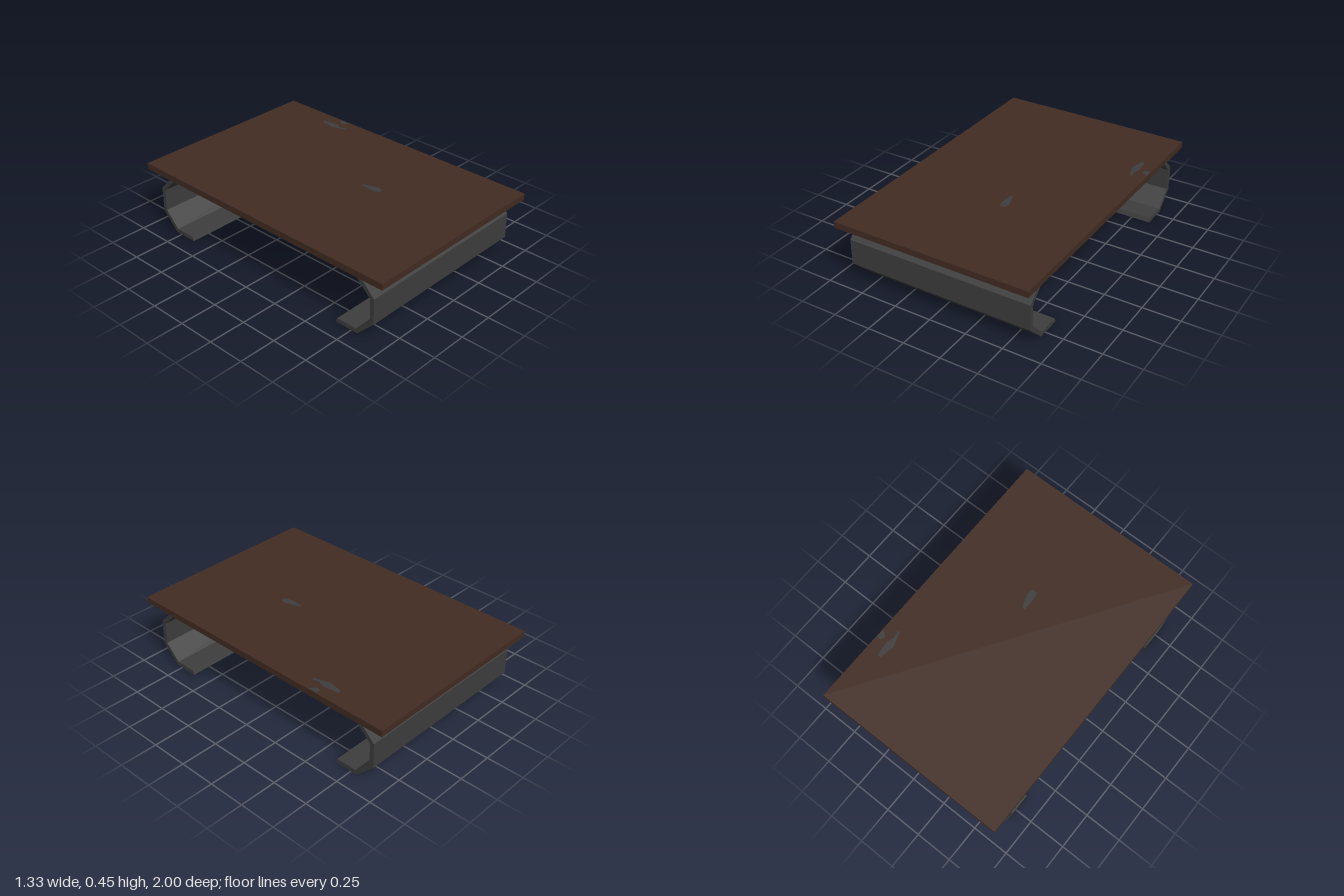
import * as THREE from 'three';

const wood = new THREE.MeshStandardMaterial({ name: 'darkWood', color: 0x422c22, flatShading: true });
const steel = new THREE.MeshStandardMaterial({ name: 'darkSteel', color: 0x3d3d3d, flatShading: true });

const toShape = (pts) => new THREE.Shape(pts.map(([x, y]) => new THREE.Vector2(x, y)));

function addMesh(group, name, geometry, material) {
  const mesh = new THREE.Mesh(geometry, material);
  mesh.name = name;
  group.add(mesh);
  return mesh;
}

// Thin worn patch, outlined in x and z, lying on the table top
function wornPatch(pts) {
  const geo = new THREE.ExtrudeGeometry(toShape(pts.map(([x, z]) => [x, -z])), { depth: 0.001, bevelEnabled: false });
  return geo.rotateX(-Math.PI / 2).translate(0, 0.453, 0);
}

export function createModel() {
  const table = new THREE.Group();
  table.name = 'lowTable';

  // Table top
  addMesh(table, 'tableTop', new THREE.BoxGeometry(1.333, 0.042, 2).translate(0, 0.432, 0), wood);

  // Folded plate legs: one C-shaped section (z, y) drawn out along x
  const section = toShape([
    [0.63, 0], [0.795, 0], [0.915, 0.121], [0.915, 0.292], [0.795, 0.411], [0.63, 0.411],
    [0.641, 0.383], [0.784, 0.383], [0.887, 0.28], [0.887, 0.132], [0.784, 0.028], [0.641, 0.028],
  ]);
  const width = 1.26;
  const legGeo = new THREE.ExtrudeGeometry(section, { depth: width, bevelEnabled: false });
  legGeo.translate(0, 0, -width / 2).rotateY(-Math.PI / 2);
  addMesh(table, 'frontLeg', legGeo, steel);
  addMesh(table, 'backLeg', legGeo, steel).rotation.y = Math.PI;

  // Small worn patches on the top
  const patches = [
    [[0.555, -0.6], [0.58, -0.6], [0.59, -0.5], [0.575, -0.45], [0.585, -0.4], [0.57, -0.4], [0.537, -0.5]],
    [[0.63, -0.51], [0.66, -0.51], [0.66, -0.45], [0.64, -0.46], [0.62, -0.48]],
    [[0.06, 0.2], [0.08, 0.21], [0.11, 0.3], [0.1, 0.34], [0.065, 0.34], [0.055, 0.28]],
  ];
  patches.forEach((pts, i) => addMesh(table, `wornPatch${i + 1}`, wornPatch(pts), steel));

  return table;
}
